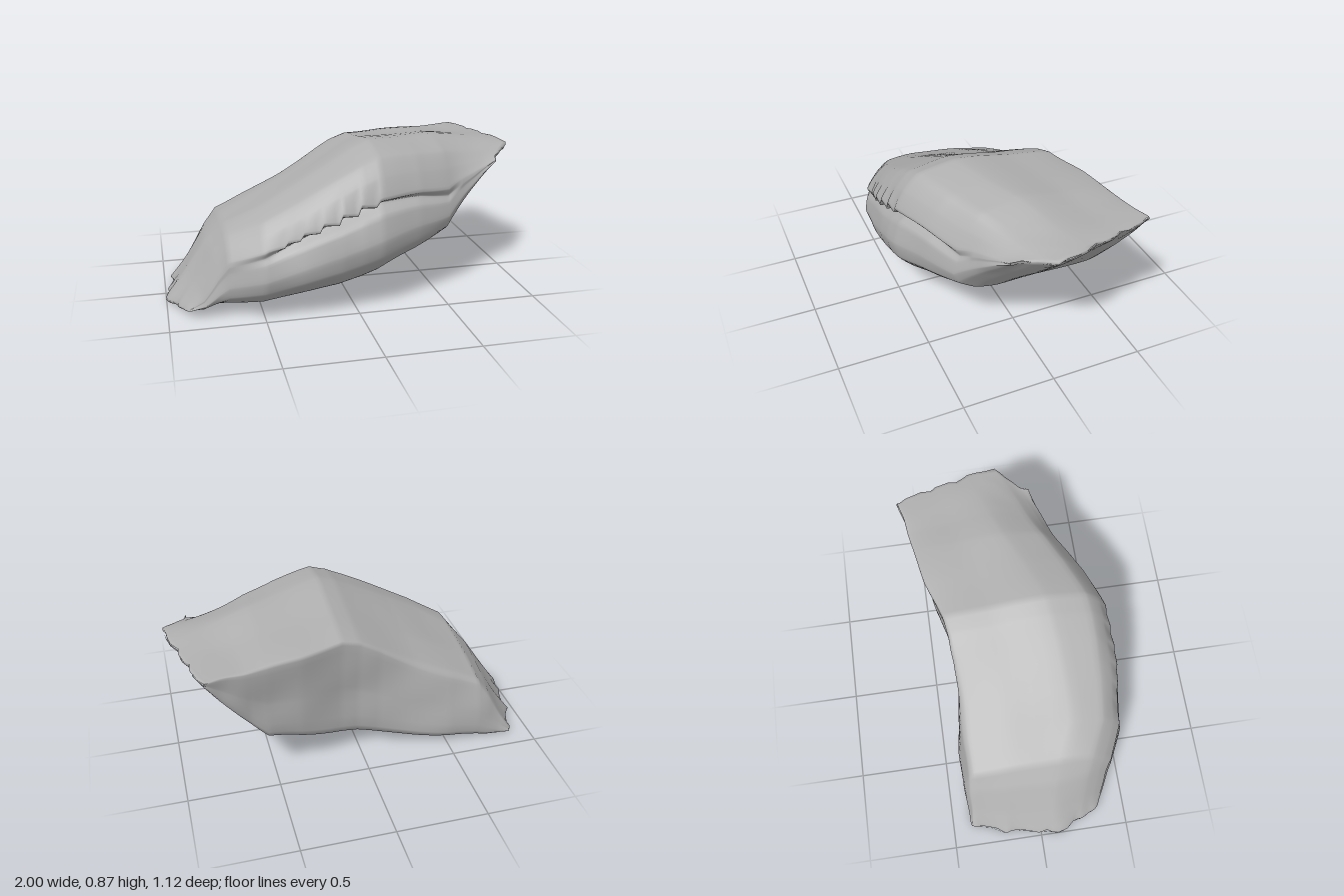
import * as THREE from 'three';

// Stations along the boulder: x, bottom y, top y, back z, front z, crease y, crease depth
const STATIONS = [
  [-1.0, 0.015, 0.035, -0.39, 0.35, 0.025, 0],
  [-0.9, 0.012, 0.17, -0.39, 0.385, 0.09, 0],
  [-0.78, 0.025, 0.35, -0.395, 0.42, 0.22, 0],
  [-0.68, 0.04, 0.465, -0.4, 0.45, 0.31, 0],
  [-0.5, 0.065, 0.56, -0.4, 0.53, 0.37, 0.015],
  [-0.3, 0.095, 0.665, -0.385, 0.55, 0.45, 0.05],
  [-0.1, 0.125, 0.78, -0.365, 0.56, 0.53, 0.07],
  [0.02, 0.155, 0.845, -0.37, 0.555, 0.58, 0.07],
  [0.12, 0.18, 0.88, -0.39, 0.54, 0.61, 0.06],
  [0.35, 0.255, 0.865, -0.46, 0.455, 0.61, 0.04],
  [0.54, 0.32, 0.85, -0.5, 0.36, 0.58, 0.02],
  [0.7, 0.47, 0.825, -0.52, 0.31, 0.65, 0],
  [0.86, 0.625, 0.805, -0.54, 0.255, 0.72, 0],
  [1.0, 0.765, 0.787, -0.56, 0.2, 0.778, 0],
];
// Plan outlines of the two broken end edges: z, x
const RIGHT_EDGE = [[-0.42, -0.87], [-0.2, -0.95], [-0.08, -0.965], [0.1, -1], [0.2, -0.96], [0.36, -0.88], [0.5, -0.8]];
const LEFT_EDGE = [[-0.57, 0.86], [-0.4, 0.905], [-0.15, 0.965], [-0.05, 1], [0.02, 0.99], [0.1, 0.925], [0.2, 0.85], [0.37, 0.75]];
const RING = 72;

// Linear lookup in a table keyed by its first column
function lookup(table, key) {
  let i = 0;
  while (i < table.length - 2 && key > table[i + 1][0]) i++;
  const a = table[i], b = table[i + 1];
  const t = THREE.MathUtils.clamp((key - a[0]) / (b[0] - a[0]), 0, 1);
  return a.map((v, k) => THREE.MathUtils.lerp(v, b[k], t));
}

// Cross-section: up the back, over the tilted top, down the creased front, along the bottom
function section(x) {
  const [, yb, yt, zb, zf, yc, depth] = lookup(STATIONS, x);
  const h = yt - yb, up = yt - yc, low = yc - yb, lip = depth / 0.07;
  // broken teeth along the overhanging lip
  const saw = x > -0.5 && x < 0.1 ? ((x + 0.5) * 10) % 1 : 0.3;
  const yLip = yc + up * 0.18 - lip * 0.05 * saw;
  const thick = Math.min(1, h / 0.4);
  // low end: upper back leans forward and the front shoulder is fuller
  const lean = THREE.MathUtils.smoothstep(-x, -0.05, 0.5);
  const foot = 0.045 * thick * (1 - lean);
  const pts = [
    [zb + foot, yb],
    [zb + foot * 0.6, yb + h * 0.42],
    [zb + 0.03 * thick * lean, yt - h * (0.155 + 0.09 * lean)],
    [zb + 0.04 + 0.03 * thick * lean, yt - h * (0.115 + 0.05 * lean)],
    [zb + (zf - zb) * 0.3, yt - h * (0.06 + 0.02 * lean)],
    [zf - 0.36 + 0.06 * lean, yt],
    [zf - 0.15 + 0.02 * lean, yt - up * (0.16 - 0.04 * lean)],
    [zf - 0.07 + 0.01 * lean, yt - up * 0.48],
    [zf - 0.02, yLip],
    [zf - 0.01 - depth * 1.4, yc],
    [zf - 0.01 - depth * 0.3, yc - low * 0.13],
    [zf, yc - low * 0.42],
    [zf - 0.025, yb + low * 0.33],
    [zf - 0.12, yb + low * 0.1],
    [zf - 0.25, yb + low * 0.015],
    [zb + (zf - zb) * 0.35, yb],
  ];
  const curve = new THREE.CatmullRomCurve3(
    pts.map(([z, y]) => new THREE.Vector3(x, y, z)), true, 'catmullrom', 0.25);
  return Array.from({ length: RING }, (_, j) => curve.getPoint(j / RING));
}

// Draw each end in to its slanted, chipped edge
function shapeEnds(p) {
  const chip = 0.008 * Math.sin(38 * p.z) + 0.005 * Math.sin(71 * p.z);
  if (p.x > 0.54) {
    const t = (p.x - 0.54) / 0.46;
    p.x = 0.54 + t * (lookup(LEFT_EDGE, p.z)[1] - 0.54) + t ** 6 * chip;
    p.y -= t * 0.28 * Math.max(0, p.z);
  } else if (p.x < -0.68) {
    const t = (-0.68 - p.x) / 0.32;
    p.x = -0.68 + t * (lookup(RIGHT_EDGE, p.z)[1] + 0.68) + t ** 6 * chip;
    p.y += t * 0.1 * Math.max(0, p.z - 0.1);
  }
}

function boulderGeometry() {
  const rings = Array.from({ length: 101 }, (_, i) => section(-1 + i * 0.02));

  // gentle uneven weathering, fading out at the thin ends
  for (const ring of rings) for (const p of ring) {
    const k = 0.005 * Math.min(1, (1 - Math.abs(p.x)) * 5);
    const { x, y, z } = p;
    p.y += k * Math.sin(9 * x + 7 * z) * Math.cos(11 * z - 4 * x);
    p.z += k * Math.sin(13 * x + 8 * y) * Math.cos(10 * y - 5 * x);
    shapeEnds(p);
  }

  // close each thin end by folding its ring flat onto mid-height
  const flatRing = (ring) => ring.map((p) => {
    const level = ring.filter((q) => Math.abs(q.z - p.z) < 0.08);
    const ys = level.map((q) => q.y);
    return new THREE.Vector3(p.x, (Math.min(...ys) + Math.max(...ys)) / 2, p.z);
  });
  rings.unshift(flatRing(rings[0]));
  rings.push(flatRing(rings[rings.length - 1]));

  const position = [], index = [];
  rings.forEach((ring) => ring.forEach((p) => position.push(p.x, Math.max(0, p.y), p.z)));
  for (let i = 0; i < rings.length - 1; i++) {
    for (let j = 0; j < RING; j++) {
      const a = i * RING + j, d = i * RING + (j + 1) % RING;
      index.push(a, d, a + RING, a + RING, d, d + RING);
    }
  }
  const geometry = new THREE.BufferGeometry();
  geometry.setAttribute('position', new THREE.Float32BufferAttribute(position, 3));
  geometry.setIndex(index);
  geometry.computeVertexNormals();
  return geometry;
}

export function createModel() {
  const group = new THREE.Group();
  group.name = 'rock';
  const stone = new THREE.MeshStandardMaterial({ color: 0xb0b0b0 });
  stone.name = 'stone grey';
  const boulder = new THREE.Mesh(boulderGeometry(), stone);
  boulder.name = 'boulder';
  group.add(boulder);
  return group;
}
